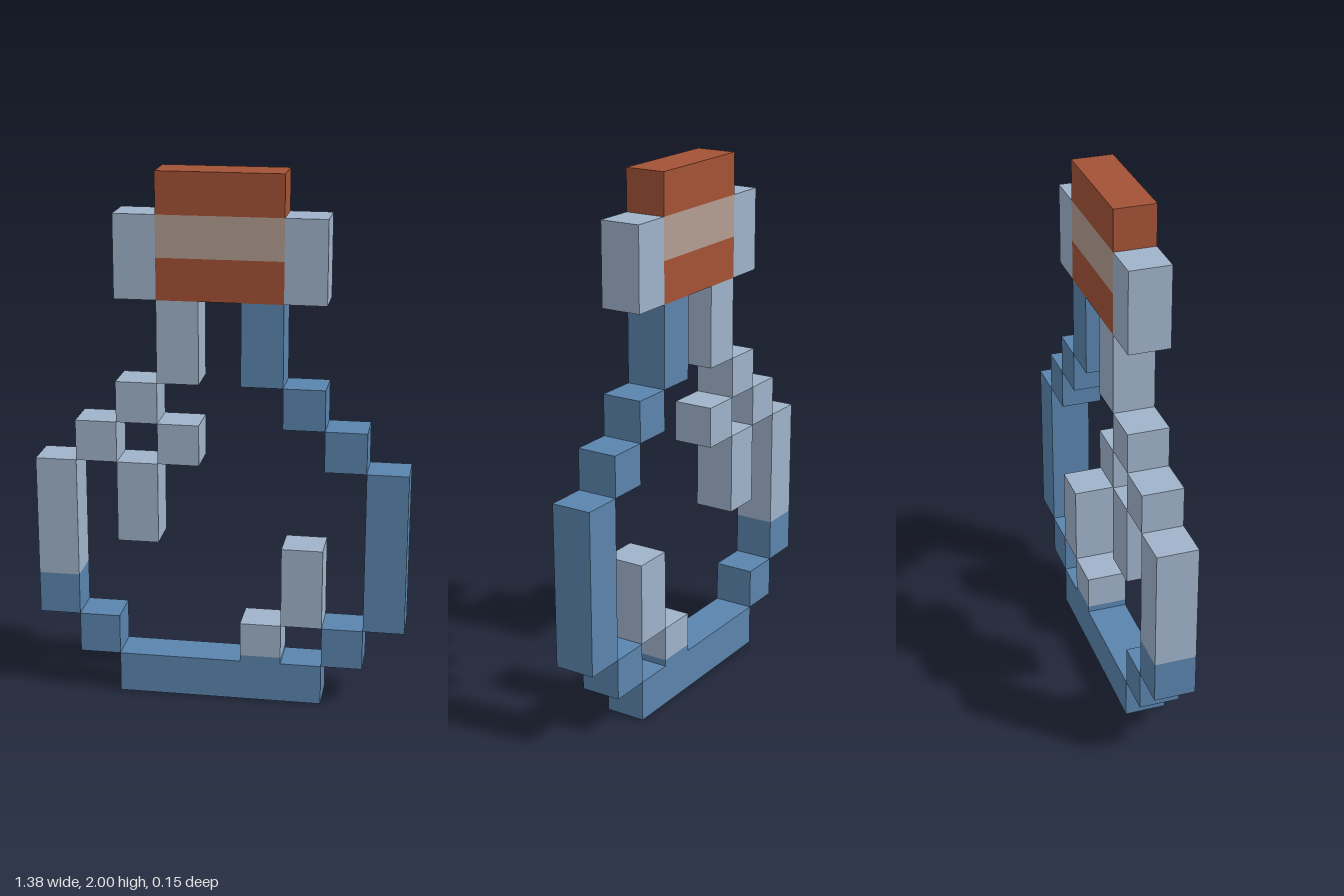
import * as THREE from 'three';

// The flask is laid out on a 9 x 13 grid of square cells, one cell deep.
const CELL = 2 / 13;

export function createModel() {
  const group = new THREE.Group();
  group.name = 'flask';

  const material = (name, color) => {
    const m = new THREE.MeshStandardMaterial({ color });
    m.name = name;
    return m;
  };
  const blue = material('deep blue glass', 0x5a84ad);
  const pale = material('pale blue glass', 0xa0b3ca);
  const cork = material('rust cork', 0xa35235);
  const tinted = material('cork behind glass', 0xb39c90);

  // Block covering columns c0..c1 and rows r0..r1 (end values exclusive).
  const block = (name, mat, c0, c1, r0, r1) => {
    const geometry = new THREE.BoxGeometry((c1 - c0) * CELL, (r1 - r0) * CELL, CELL);
    const mesh = new THREE.Mesh(geometry, mat);
    mesh.name = name;
    mesh.position.set(((c0 + c1) / 2 - 4.5) * CELL, ((r0 + r1) / 2) * CELL, 0);
    group.add(mesh);
  };

  // Base and lower corners
  block('base', blue, 2, 7, 0, 1);
  block('lowerCornerRight', blue, 1, 2, 1, 2);
  block('lowerCornerLeft', blue, 7, 8, 1, 2);

  // Side walls
  block('wallRightFoot', blue, 0, 1, 2, 3.03);
  block('wallRight', pale, 0, 1, 3.03, 6);
  block('wallLeft', blue, 8, 9, 2, 6);

  // Stepped shoulders and neck
  for (const [side, mat, columns] of [['Right', pale, [1, 2, 3]], ['Left', blue, [7, 6, 5]]]) {
    const [outer, inner, neck] = columns;
    block('outerShoulder' + side, mat, outer, outer + 1, 6, 7);
    block('innerShoulder' + side, mat, inner, inner + 1, 7, 8);
    block('neck' + side, mat, neck, neck + 1, 8, 10);
  }

  // Lip around the stopper
  block('lipRight', pale, 2, 3, 10, 12);
  block('lipLeft', pale, 6, 7, 10, 12);

  // Stopper
  block('stopperBottom', cork, 3, 6, 10, 11);
  block('stopperBand', tinted, 3, 6, 11, 12);
  block('stopperTop', cork, 3, 6, 12, 13);

  // Glints inside the bowl
  block('upperGlintTip', pale, 3, 4, 6, 7);
  block('upperGlint', pale, 2, 3, 4, 6);
  block('lowerGlint', pale, 6, 7, 2, 4);
  block('lowerGlintFoot', blue, 5, 6, 1, 1.16);
  block('lowerGlintTip', pale, 5, 6, 1.16, 2);

  return group;
}
